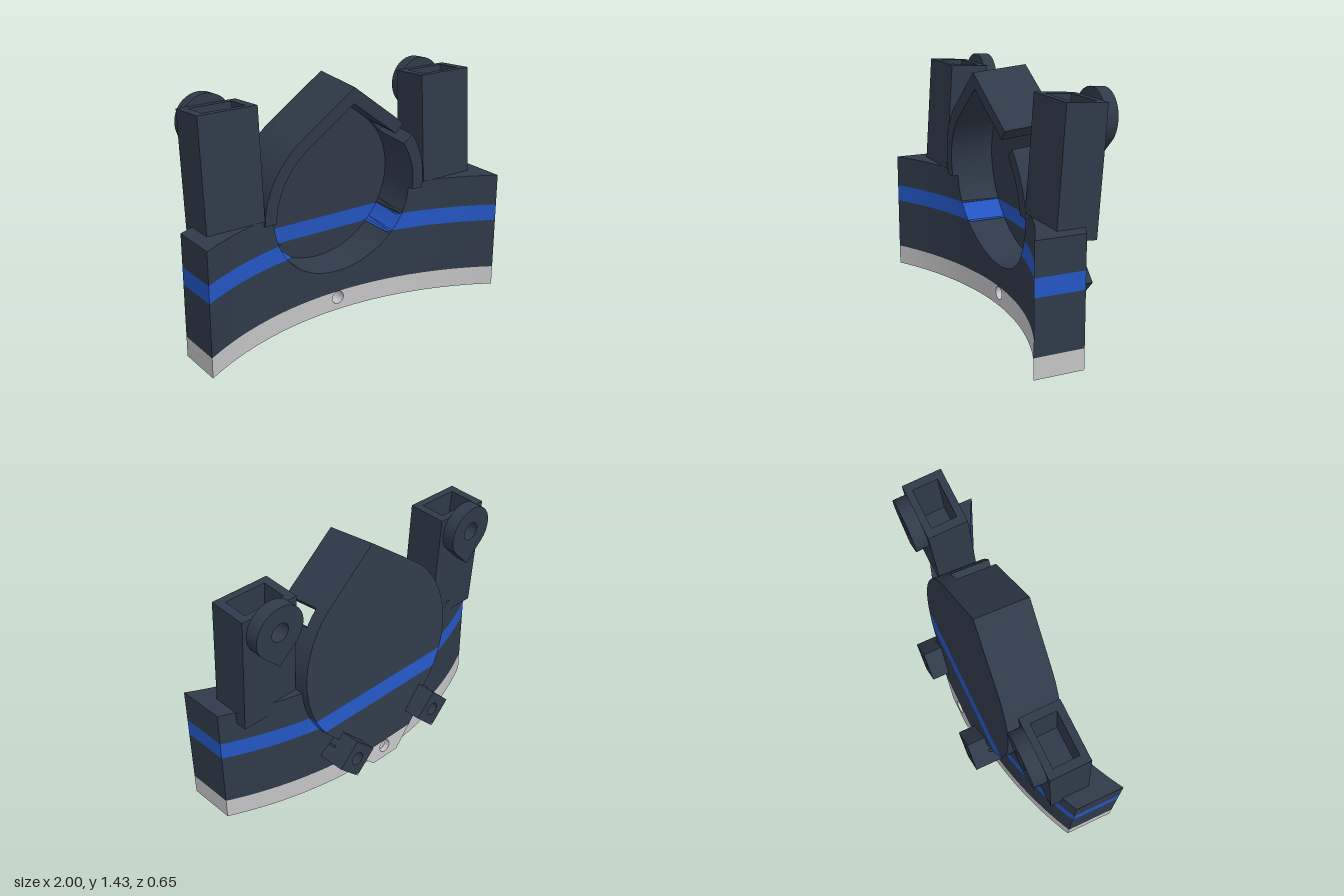
import * as THREE from 'three';
import { toCreasedNormals } from 'three/addons/utils/BufferGeometryUtils.js';

const mats = {};
for (const [name, color] of [['darkSlate', 0x2f3a49], ['blue', 0x2456c4], ['lightGrey', 0xc4c4c6]])
  mats[name] = new THREE.MeshStandardMaterial({ name, color });
const { darkSlate, blue, lightGrey } = mats;

// Colour bands by height
const GREY = 0.12, BLUE0 = 0.435, BLUE1 = 0.538, TOP = 0.73;
const TILT = THREE.MathUtils.degToRad(5), CY = 0.735, BORE = 0.475, RIM = 0.55;

function add(parent, name, geo, mat) {
  const m = new THREE.Mesh(geo, mat);
  m.name = name;
  parent.add(m);
  return m;
}

// Flat outline given depth from z0 to z1, with an optional round hole [x, y, r]
function plate(pts, z0, z1, hole) {
  const s = new THREE.Shape(pts.map(p => new THREE.Vector2(p[0], p[1])));
  if (hole) s.holes.push(new THREE.Path().absarc(hole[0], hole[1], hole[2], 0, Math.PI * 2, true));
  const g = new THREE.ExtrudeGeometry(s, { depth: z1 - z0, bevelEnabled: false, curveSegments: 16 });
  g.translate(0, 0, z0);
  return toCreasedNormals(g, 0.4);
}

// Cuts a convex outline to a range of heights
function clip(pts, y0, y1) {
  const cut = (list, y, sign) => list.flatMap((p, i) => {
    const q = list[(i + 1) % list.length], a = sign * (p[1] - y), b = sign * (q[1] - y), out = [];
    if (a >= 0) out.push(p);
    if (a * b < 0) out.push([p[0] + (q[0] - p[0]) * a / (a - b), y]);
    return out;
  });
  return cut(cut(pts, y0, 1), y1, -1);
}

// Teardrop outline: a circle that runs on in tangents to a point at the top
const LEAN = THREE.MathUtils.degToRad(53.4);
function dropPoint(a, r) {
  const b = Math.abs(a - Math.PI / 2), f = Math.PI / 2 - b;
  const d = f > LEAN ? r / Math.cos(f - LEAN) : r;
  return [d * Math.cos(a), d * Math.sin(a)];
}
function arcBand(a0, a1, z0, z1) {
  const rad = THREE.MathUtils.degToRad, as = [];
  const n = Math.ceil((a1 - a0) / 4);
  for (let i = 0; i <= n; i++) as.push(rad(a0 + (a1 - a0) * i / n));
  if (a0 < 90 && a1 > 90) as.push(Math.PI / 2);
  as.sort((p, q) => p - q);
  return plate([...as.map(a => dropPoint(a, RIM)), ...as.reverse().map(a => dropPoint(a, BORE))], z0, z1);
}

// Curved wall, swept in x: lo and hi give its heights, zf and zb its faces
function wall(xs, lo, hi, zf, zb) {
  const pos = [];
  const quad = (a, b, c, d) => pos.push(...a, ...b, ...c, ...a, ...c, ...d);
  const ring = x => {
    const f = zf(x), b = zb(x), lf = lo(x, f), lb = lo(x, b);
    return [[x, lf, f], [x, Math.max(lf, hi(x, f)), f], [x, Math.max(lb, hi(x, b)), b], [x, lb, b]];
  };
  const rings = xs.map(ring);
  const empty = r => r[1][1] - r[0][1] < 1e-4 && r[2][1] - r[3][1] < 1e-4;
  for (let i = 0; i < rings.length - 1; i++) {
    const p = rings[i], q = rings[i + 1];
    if (empty(p) && empty(q)) continue;
    for (let k = 0; k < 4; k++) quad(p[k], q[k], q[(k + 1) % 4], p[(k + 1) % 4]);
  }
  const s = rings[0], e = rings[rings.length - 1];
  quad(s[0], s[1], s[2], s[3]);
  quad(e[0], e[3], e[2], e[1]);
  const g = new THREE.BufferGeometry();
  g.setAttribute('position', new THREE.Float32BufferAttribute(pos, 3));
  return toCreasedNormals(g, 0.4);
}

export function createModel() {
  const root = new THREE.Group();
  root.name = 'curvedMount';

  // Curved body with the round bore cut into its top
  const front = x => 2.045 - Math.sqrt(1.99 ** 2 - x * x);
  const back = x => 2.045 - Math.sqrt(2.245 ** 2 - x * x);
  const HOLE_Y = 0.079, HOLE_R = 0.04, SLOT = 0.18;
  const xs = [-SLOT, SLOT];
  for (let i = 0; i <= 48; i++) xs.push(-1 + i / 24, -BORE * Math.cos(Math.PI * i / 48));
  for (let i = 0; i <= 16; i++) xs.push(-HOLE_R * Math.cos(Math.PI * i / 16));
  xs.sort((a, b) => a - b);
  const cols = xs.filter((x, i) => i === 0 || x - xs[i - 1] > 1e-5);
  const top = (x, z) => Math.abs(x) >= BORE ? TOP
    : Math.min(TOP, CY - z * Math.tan(TILT) - Math.sqrt(BORE ** 2 - x * x));
  const band = (y0, y1) => wall(cols, () => y0, (x, z) => Math.min(y1, top(x, z)), front, back);
  add(root, 'bodyLower', band(GREY, BLUE0), darkSlate);
  add(root, 'bodyStripe', band(BLUE0, BLUE1), blue);
  add(root, 'bodyUpper', band(BLUE1, TOP), darkSlate);

  // Grey base with a cross hole and a pocket open below
  const arc = x => Math.sqrt(Math.max(0, HOLE_R ** 2 - x * x));
  const base = (list, zf, zb) => {
    add(root, 'baseLower', wall(list, () => 0, x => HOLE_Y - arc(x), zf, zb), lightGrey);
    add(root, 'baseUpper', wall(list, x => HOLE_Y + arc(x), () => GREY, zf, zb), lightGrey);
  };
  base(cols.filter(x => x <= -SLOT + 1e-6), front, back);
  base(cols.filter(x => x >= SLOT - 1e-6), front, back);
  const middle = cols.filter(x => Math.abs(x) <= SLOT + 1e-6);
  base(middle, front, () => -0.05);
  base(middle, () => -0.12, back);

  // Tilted teardrop cup
  const cup = new THREE.Group();
  cup.name = 'teardropCup';
  cup.position.y = CY;
  cup.rotation.x = TILT;
  root.add(cup);
  const W0 = -0.175, W1 = -0.12, WF = 0.15;
  const local = y => (y - CY + W0 * Math.sin(TILT)) / Math.cos(TILT);
  const drop = [];
  for (let i = 0; i < 120; i++) drop.push(dropPoint(i * Math.PI / 60, RIM));
  const l0 = local(BLUE0), l1 = local(BLUE1);
  add(cup, 'cupBackLower', plate(clip(drop, -2, l0), W0, W1), darkSlate);
  add(cup, 'cupBackStripe', plate(clip(drop, l0, l1), W0, W1), blue);
  add(cup, 'cupBackUpper', plate(clip(drop, l1, 2), W0, W1), darkSlate);
  add(cup, 'cupRimRight', arcBand(-3, 37, W1, WF), darkSlate);
  add(cup, 'cupRimMain', arcBand(49, 183, W1, WF), darkSlate);
  add(cup, 'cupRimNotch', arcBand(37, 49, W1, -0.09), darkSlate);

  // Flared tab below the cup
  const b = local(0) + 0.004, g = local(GREY);
  const tab = [[-0.1, b], [0.1, b], [0.4, b + 0.3], [-0.4, b + 0.3]];
  add(cup, 'tabGrey', plate(clip(tab, b, g), W0, -0.135, [0, local(HOLE_Y), HOLE_R]), lightGrey);
  add(cup, 'tabDark', plate(clip(tab, g, 2), W0, -0.135), darkSlate);

  for (const side of [-1, 1]) {
    // Diamond boss at the back
    const bx = 0.32 * side, by = 0.235, h = 0.13;
    const diamond = [[bx, by - h], [bx + h, by], [bx, by + h], [bx - h, by]];
    add(root, 'boss', plate(clip(diamond, GREY, 2), -0.325, -0.1, [bx, by, 0.04]), darkSlate);
    add(root, 'bossTip', plate(clip(diamond, -1, GREY), -0.325, -0.1), lightGrey);

    // Hollow tower leaning back
    const tower = new THREE.Group();
    tower.name = side > 0 ? 'leftTower' : 'rightTower';
    tower.position.set(0.732 * side, TOP, 0.037);
    tower.rotation.x = -THREE.MathUtils.degToRad(4);
    root.add(tower);
    const W = 0.355, D = 0.235, H = 0.635, F = 0.3, T = 0.0425, LY = 0.535;
    const box = (name, w, y0, y1, d, x, z) => add(tower, name,
      new THREE.BoxGeometry(w, y1 - y0, d).translate(x, (y0 + y1) / 2, z), darkSlate);
    box('towerBase', W, -0.008, F, D, 0, 0);
    box('towerFoot', W, -0.068, 0.01, 0.1, 0, -D / 2 + 0.05);
    box('towerFront', W, F, H, T, 0, D / 2 - T / 2);
    for (const s of [-1, 1]) box('towerSide', 0.05, F, H, D - 2 * T, s * (W / 2 - 0.025), 0);
    const r = 0.055;
    add(tower, 'towerBack', plate([[-W / 2, F], [W / 2, F], [W / 2, H], [-W / 2, H]],
      -D / 2, -D / 2 + T, [0, LY, r]), darkSlate);

    // Round lug with its point down
    const R = 0.155, lug = [[0, LY - R * Math.SQRT2]];
    for (let i = 0; i <= 36; i++) {
      const a = -Math.PI / 4 + i / 36 * Math.PI * 1.5;
      lug.push([R * Math.cos(a), LY + R * Math.sin(a)]);
    }
    add(tower, 'lug', plate(lug, -D / 2 - 0.078, -D / 2, [0, LY, r]), darkSlate);
  }
  return root;
}
